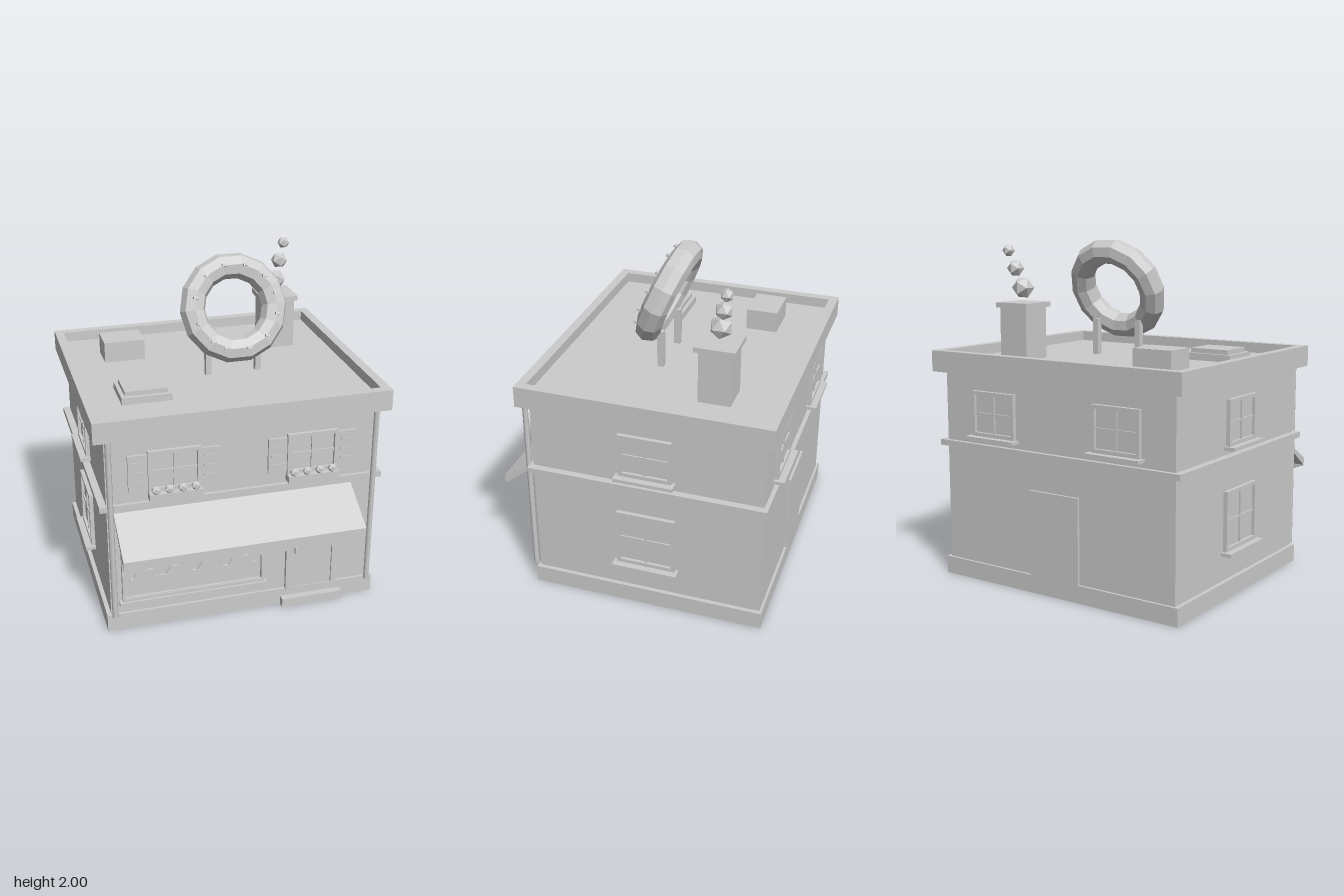
import * as THREE from 'three';

const stone = new THREE.MeshStandardMaterial({ color: 0xcccccc });
stone.name = 'plain grey';

const FRONT = 0.576, BACK = -0.79, SIDE = 0.8, ZC = -0.107, DECK = 1.303;

function add(parent, name, geometry, x = 0, y = 0, z = 0) {
  const mesh = new THREE.Mesh(geometry, stone);
  mesh.name = name;
  mesh.position.set(x, y, z);
  parent.add(mesh);
  return mesh;
}

// Box given by its limits on each axis
function block(parent, name, x0, x1, y0, y1, z0, z1) {
  return add(parent, name, new THREE.BoxGeometry(x1 - x0, y1 - y0, z1 - z0),
    (x0 + x1) / 2, (y0 + y1) / 2, (z0 + z1) / 2);
}

function faceted(geometry) {
  const g = geometry.toNonIndexed();
  g.computeVertexNormals();
  return g;
}

function extrude(points, depth) {
  const shape = new THREE.Shape(points.map(([x, y]) => new THREE.Vector2(x, y)));
  return new THREE.ExtrudeGeometry(shape, { depth, bevelEnabled: false });
}

// Four-sided border with an opening
function border(w, h, t, depth) {
  const shape = new THREE.Shape();
  shape.moveTo(-w / 2, -h / 2).lineTo(w / 2, -h / 2).lineTo(w / 2, h / 2).lineTo(-w / 2, h / 2);
  const hole = new THREE.Path(), a = w / 2 - t, b = h / 2 - t;
  hole.moveTo(-a, -b).lineTo(-a, b).lineTo(a, b).lineTo(a, -b);
  shape.holes.push(hole);
  return new THREE.ExtrudeGeometry(shape, { depth, bevelEnabled: false });
}

// Four-pane window facing +z, resting on its wall at local z = 0
function paneWindow(name, w, h, withSill) {
  const g = new THREE.Group();
  g.name = name;
  add(g, 'windowFrame', border(w, h, 0.022, 0.024));
  block(g, 'windowPane', -w / 2 + 0.01, w / 2 - 0.01, -h / 2 + 0.01, h / 2 - 0.01, -0.01, 0.006);
  block(g, 'verticalBar', -0.007, 0.007, -h / 2 + 0.02, h / 2 - 0.02, 0, 0.016);
  block(g, 'crossBar', -w / 2 + 0.02, w / 2 - 0.02, -0.007, 0.007, 0, 0.015);
  if (withSill) block(g, 'windowSill', -w / 2 - 0.02, w / 2 + 0.02, -h / 2 - 0.02, -h / 2, 0, 0.063);
  return g;
}

function place(parent, part, x, y, z, turn = 0) {
  part.position.set(x, y, z);
  part.rotation.y = turn;
  parent.add(part);
}

function buildShell(g) {
  block(g, 'walls', -SIDE, SIDE, 0.1, 1.25, BACK, FRONT);
  block(g, 'floorBand', -0.842, 0.842, 0.795, 0.83, -0.815, 0.598);
  block(g, 'roofDeck', -0.83, 0.83, 1.245, DECK, -0.81, 0.605);
  // hollow plinth skirt below the walls, and parapet around the sunken roof
  const plinth = add(g, 'plinth', border(1.65, 1.397, 0.03, 0.105), 0, 0, -0.1065);
  const parapet = add(g, 'parapet', border(1.73, 1.478, 0.055, 0.125), 0, 1.24, -0.104);
  plinth.rotation.x = parapet.rotation.x = -Math.PI / 2;
  // corner drainpipes
  for (const s of [-1, 1])
    add(g, 'drainpipe', new THREE.CylinderGeometry(0.017, 0.017, 1.135, 8), s * 0.782, 0.672, 0.613);
}

function buildWindows(g) {
  // sides and back
  for (const s of [-1, 1]) {
    place(g, paneWindow('sideUpperWindow', 0.313, 0.265, true), s * SIDE, 1.012, ZC, s * Math.PI / 2);
    place(g, paneWindow('sideLowerWindow', 0.35, 0.35, true), s * SIDE, 0.45, ZC, s * Math.PI / 2);
    place(g, paneWindow('backWindow', 0.313, 0.265, true), s * 0.43, 1.012, BACK, Math.PI);
  }
  block(g, 'backDoor', -0.172, 0.172, 0.1, 0.605, BACK - 0.015, BACK + 0.01);

  // front windows with shutters and flower boxes
  for (const s of [-1, 1]) {
    const w = paneWindow('frontUpperWindow', 0.306, 0.25, false);
    place(g, w, s * 0.407, 1.015, FRONT);
    for (const k of [-1, 1]) {
      const x = k * 0.21;
      block(w, 'shutter', x - 0.056, x + 0.056, -0.115, 0.108, 0, 0.015);
      for (let i = -1; i <= 1; i++)
        block(w, 'shutterSlat', x - 0.038, x + 0.038, i * 0.06 - 0.006, i * 0.06 + 0.006, 0.012, 0.02);
    }
    block(w, 'flowerBox', -0.154, 0.154, -0.167, -0.125, 0, 0.06);
    for (const x of [-0.115, -0.038, 0.038, 0.115])
      add(w, 'flower', new THREE.IcosahedronGeometry(0.028, 0), x, -0.107, 0.042);
  }
}

function buildShopfront(g) {
  // display window with two shelves of loaves
  add(g, 'displayFrame', border(0.857, 0.43, 0.018, 0.026), -0.302, 0.405, FRONT);
  block(g, 'displayPane', -0.72, 0.115, 0.2, 0.61, FRONT - 0.01, FRONT + 0.004);
  block(g, 'displaySill', -0.75, 0.143, 0.165, 0.19, FRONT, 0.615);
  block(g, 'displayBase', -0.69, 0.09, 0.2, 0.212, FRONT, 0.596);
  for (const y of [0.33, 0.47]) {
    block(g, 'shelf', -0.685, 0.085, y - 0.006, y + 0.004, FRONT, 0.596);
    for (let i = 0; i < 4; i++)
      add(g, 'loaf', extrude([[-0.08, 0], [0.08, 0], [0.045, 0.05], [-0.045, 0.05]], 0.018),
        -0.585 + i * 0.19, y + 0.002, FRONT);
  }

  // entrance
  for (const x of [0.28, 0.57]) block(g, 'doorPost', x - 0.015, x + 0.015, 0.1, 0.63, FRONT, 0.598);
  block(g, 'doorLintel', 0.265, 0.585, 0.61, 0.635, FRONT, 0.598);
  block(g, 'frontDoor', 0.29, 0.56, 0.1, 0.615, FRONT, 0.586);
  block(g, 'doorHandle', 0.32, 0.337, 0.345, 0.385, 0.58, 0.602);
  block(g, 'doorStep', 0.235, 0.615, 0, 0.055, 0.57, 0.635);
  block(g, 'wallLantern', 0.63, 0.678, 0.535, 0.62, FRONT, 0.61);

  // awning wedge with a scalloped valance
  const awning = add(g, 'awning', extrude([[-FRONT, 0.755], [-FRONT, 0.772], [-0.843, 0.61], [-0.843, 0.56]], 1.42), -0.76);
  awning.rotation.y = Math.PI / 2;
  const edge = [[0.66, 0.61], [-0.76, 0.61]];
  const waves = 10, steps = waves * 4;
  for (let i = 0; i <= steps; i++)
    edge.push([-0.76 + 1.42 * i / steps, 0.546 + 0.014 * Math.cos(i / steps * waves * Math.PI * 2)]);
  add(g, 'valance', extrude(edge, 0.008), 0, 0, 0.836);
}

function buildRoof(g) {
  const base = DECK - 0.01;
  block(g, 'hatchBase', -0.64, -0.345, base, 1.345, 0.048, 0.302);
  block(g, 'hatchLid', -0.617, -0.367, 1.34, 1.372, 0.07, 0.277);
  block(g, 'ventBox', -0.618, -0.367, base, 1.43, -0.552, -0.362);
  block(g, 'chimney', 0.403, 0.6, base, 1.615, -0.53, -0.343);
  block(g, 'chimneyCap', 0.384, 0.614, 1.61, 1.64, -0.552, -0.32);
  for (const [x, y, z, r] of [[0.497, 1.725, -0.438, 0.067], [0.532, 1.84, -0.462, 0.052], [0.565, 1.945, -0.484, 0.038]])
    add(g, 'smokePuff', new THREE.IcosahedronGeometry(r, 0), x, y, z);

  // tilted ring sign on two posts
  for (const x of [-0.052, 0.258]) block(g, 'signPost', x - 0.018, x + 0.018, base, 1.525, -0.037, 0);
  const sign = new THREE.Group();
  sign.name = 'ringSign';
  sign.position.set(0.105, 1.71, -0.018);
  sign.rotation.x = -0.4;
  add(sign, 'ring', faceted(new THREE.TorusGeometry(0.25, 0.076, 8, 14)));
  for (const degrees of [15, 42, 72, 102, 130, 164, 199, 230, 249, 282, 312, 346]) {
    const a = degrees * Math.PI / 180;
    add(sign, 'sprinkle', new THREE.BoxGeometry(0.026, 0.014, 0.024), 0.25 * Math.cos(a), 0.25 * Math.sin(a), 0.078);
  }
  g.add(sign);
}

export function createModel() {
  const model = new THREE.Group();
  model.name = 'bakery';
  for (const [name, build] of [['shell', buildShell], ['windows', buildWindows], ['shopfront', buildShopfront], ['roof', buildRoof]]) {
    const g = new THREE.Group();
    g.name = name;
    build(g);
    model.add(g);
  }
  return model;
}
